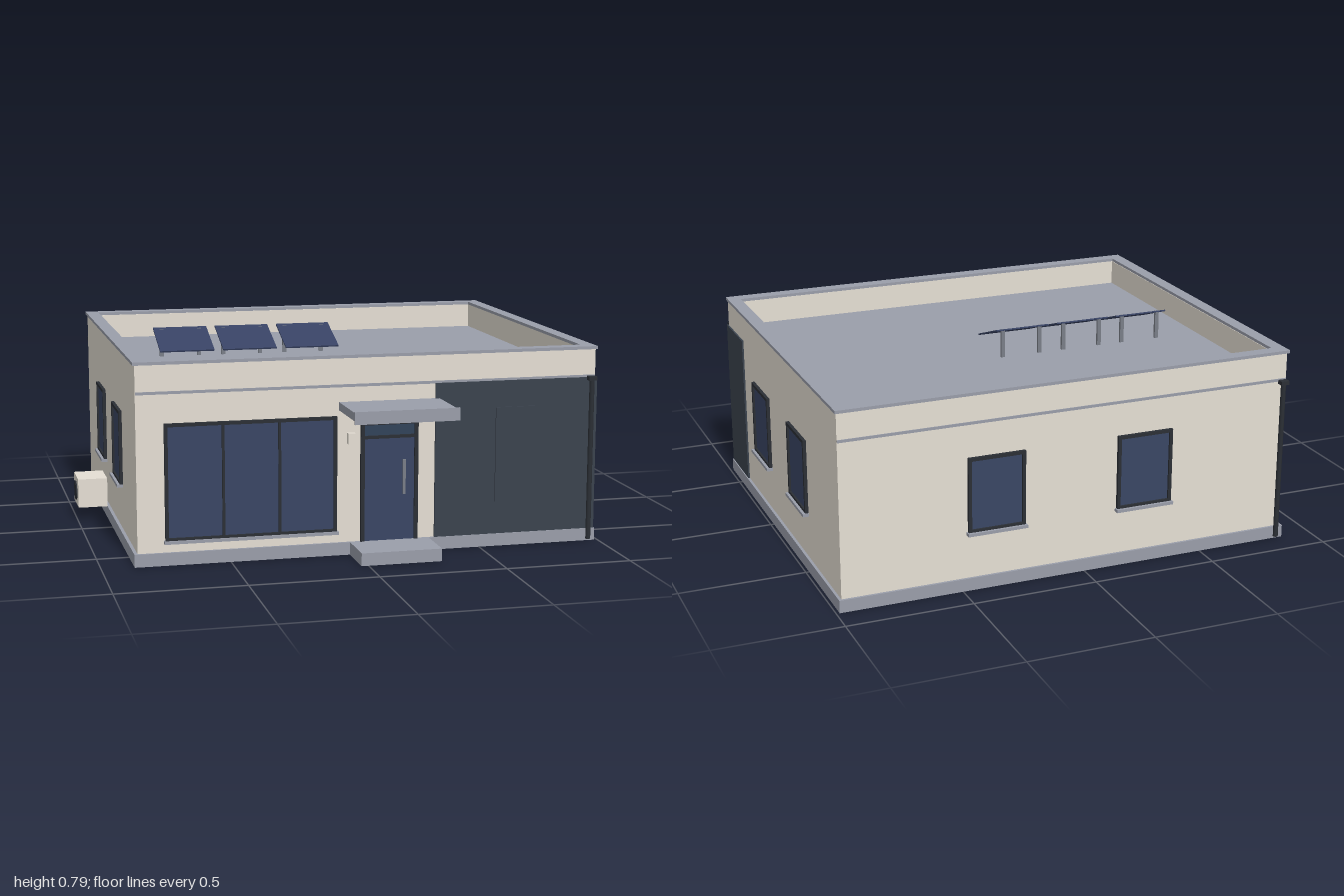
import * as THREE from 'three';

const mat = (name, color, side = THREE.FrontSide) => Object.assign(new THREE.MeshStandardMaterial({ color, side }), { name });

export function createModel() {
  const render = mat('wall render', 0xe5dfd4, THREE.DoubleSide);
  const concrete = mat('concrete grey', 0x9a9eaa, THREE.DoubleSide);
  const cladding = mat('dark cladding', 0x3b434e);
  const frame = mat('frame charcoal', 0x2b2f35);
  const glass = mat('glass blue', 0x3a4664);
  const transomGlass = mat('transom glass', 0x32435a);
  const solar = mat('solar blue', 0x374263);
  const metal = mat('metal grey', 0x797e87);

  const house = new THREE.Group();
  house.name = 'house';

  // Box given by its minimum and maximum corners
  function box(name, m, [x0, x1], [y0, y1], [z0, z1], parent = house) {
    const mesh = new THREE.Mesh(new THREE.BoxGeometry(x1 - x0, y1 - y0, z1 - z0), m);
    mesh.position.set((x0 + x1) / 2, (y0 + y1) / 2, (z0 + z1) / 2);
    mesh.name = name;
    parent.add(mesh);
    return mesh;
  }

  // Hollow box without its bottom face
  function shell(...args) {
    const geo = box(...args).geometry;
    const index = [...geo.index.array];
    index.splice(18, 6);
    geo.setIndex(index);
    geo.clearGroups();
  }

  // Rectangular ring lying flat, from y0 to y1
  function ring(name, m, [x0, x1], [z0, z1], t, [y0, y1]) {
    const rect = (P, d) => new P([
      new THREE.Vector2(x0 + d, -z1 + d), new THREE.Vector2(x1 - d, -z1 + d),
      new THREE.Vector2(x1 - d, -z0 - d), new THREE.Vector2(x0 + d, -z0 - d)]);
    const shape = rect(THREE.Shape, 0);
    shape.holes.push(rect(THREE.Path, t));
    const geo = new THREE.ExtrudeGeometry(shape, { depth: y1 - y0, bevelEnabled: false });
    geo.rotateX(-Math.PI / 2);
    const mesh = new THREE.Mesh(geo, m);
    mesh.position.y = y0;
    mesh.name = name;
    house.add(mesh);
  }

  // Base, walls, roof deck and coping
  shell('plinth', concrete, [-0.873, 0.987], [0, 0.05], [-0.89, 0.66]);
  shell('frontStep', concrete, [-0.028, 0.292], [0, 0.05], [0.66, 0.838]);
  ring('walls', render, [-0.86, 0.976], [-0.88, 0.65], 0.047, [0.05, 0.776]);
  box('roofDeck', concrete, [-0.859, 0.975], [0.663, 0.674], [-0.883, 0.653]);
  ring('coping', concrete, [-0.868, 0.982], [-0.888, 0.657], 0.053, [0.776, 0.788]);

  // Dark cladding wrapping the front right corner
  box('frontCladding', cladding, [0.315, 0.983], [0.05, 0.665], [0.64, 0.657]);
  box('sideCladding', cladding, [0.965, 0.983], [0.05, 0.665], [0.41, 0.657]);
  box('claddingPanel', cladding, [0.562, 0.722], [0.18, 0.56], [0.655, 0.663]);

  // Framed window facing local +z, standing on its sill
  function windowUnit(name, w, h, panes, sillDepth) {
    const g = new THREE.Group();
    g.name = name;
    const t = 0.013, d = [-0.005, 0.013];
    box('pane', glass, [-w / 2 + t, w / 2 - t], [t, h - t], [-0.004, 0.005], g);
    box('frameBottom', frame, [-w / 2, w / 2], [0, t], d, g);
    box('frameTop', frame, [-w / 2, w / 2], [h - t, h], d, g);
    for (let i = 0; i <= panes; i++) {
      const x = -w / 2 + t / 2 + (w - t) * i / panes;
      const half = i === 0 || i === panes ? t / 2 : 0.005;
      box('frameUpright', frame, [x - half, x + half], [0, h], d, g);
    }
    box('sill', concrete, [-w / 2 - 0.005, w / 2 + 0.005], [-0.009, 0.003], [-0.005, sillDepth], g);
    house.add(g);
    return g;
  }

  windowUnit('frontWindow', 0.672, 0.457, 3, 0.021).position.set(-0.417, 0.094, 0.65);
  for (const z of [0.142, -0.368]) {
    const right = windowUnit('sideWindow', 0.23, 0.3, 1, 0.024);
    right.position.set(0.976, 0.234, z);
    right.rotation.y = Math.PI / 2;
    const left = windowUnit('sideWindow', 0.23, 0.3, 1, 0.024);
    left.position.set(-0.86, 0.234, z);
    left.rotation.y = -Math.PI / 2;
  }
  for (const x of [-0.25, 0.362]) {
    const back = windowUnit('backWindow', 0.23, 0.3, 1, 0.024);
    back.position.set(x, 0.234, -0.88);
    back.rotation.y = Math.PI;
  }

  // Front door with transom light and pull handle
  const door = new THREE.Group();
  door.name = 'frontDoor';
  house.add(door);
  box('doorLeaf', glass, [0.028, 0.231], [0.05, 0.457], [0.645, 0.656], door);
  box('transomPane', transomGlass, [0.028, 0.231], [0.467, 0.511], [0.645, 0.655], door);
  for (const x of [0.014, 0.23]) box('doorJamb', frame, [x, x + 0.015], [0.05, 0.53], [0.645, 0.664], door);
  box('doorRail', frame, [0.014, 0.245], [0.457, 0.469], [0.645, 0.664], door);
  box('doorHead', frame, [0.014, 0.245], [0.511, 0.53], [0.645, 0.664], door);
  box('doorHandle', metal, [0.181, 0.192], [0.234, 0.372], [0.664, 0.672], door);
  for (const y of [0.26, 0.35]) box('handleMount', metal, [0.184, 0.189], [y, y + 0.006], [0.655, 0.666], door);
  box('wallLamp', render, [-0.039, -0.01], [0.441, 0.484], [0.645, 0.67]);

  // Entrance canopy
  box('canopySlab', concrete, [-0.071, 0.331], [0.573, 0.605], [0.645, 0.903]);
  box('canopyFascia', concrete, [-0.075, 0.334], [0.563, 0.612], [0.9, 0.911]);

  // Solar panels, high at the back on two posts each
  for (const x of [-0.544, -0.28, -0.014]) {
    const panel = new THREE.Group();
    panel.name = 'solarPanel';
    panel.position.x = x;
    house.add(panel);
    const slab = new THREE.Mesh(new THREE.BoxGeometry(0.227, 0.006, 0.21), solar);
    slab.name = 'solarSlab';
    slab.position.set(0, 0.756, -0.137);
    slab.rotation.x = 0.35;
    panel.add(slab);
    for (const s of [-1, 1]) {
      box('solarPost', metal, [s * 0.08 - 0.008, s * 0.08 + 0.008], [0.672, 0.79], [-0.227, -0.216], panel);
    }
  }

  // Downpipes with hopper heads at opposite corners
  for (const [x, z] of [[0.957, 0.668], [-0.842, -0.895]]) {
    const pipe = new THREE.Mesh(new THREE.CylinderGeometry(0.01, 0.01, 0.65, 12), frame);
    pipe.name = 'downpipe';
    pipe.position.set(x, 0.334, z);
    house.add(pipe);
    box('hopperHead', frame, [x - 0.017, x + 0.017], [0.654, 0.67], [z - 0.015, z + 0.015]);
  }

  // Outdoor cooling unit with a round fan grille on its outer face
  shell('coolingUnit', render, [-0.995, -0.873], [0.052, 0.173], [-0.32, -0.16]);
  const fan = new THREE.Mesh(new THREE.CylinderGeometry(0.04, 0.04, 0.008, 20), frame);
  fan.name = 'fanGrille';
  fan.rotation.z = Math.PI / 2;
  fan.position.set(-0.996, 0.111, -0.24);
  house.add(fan);

  return house;
}
